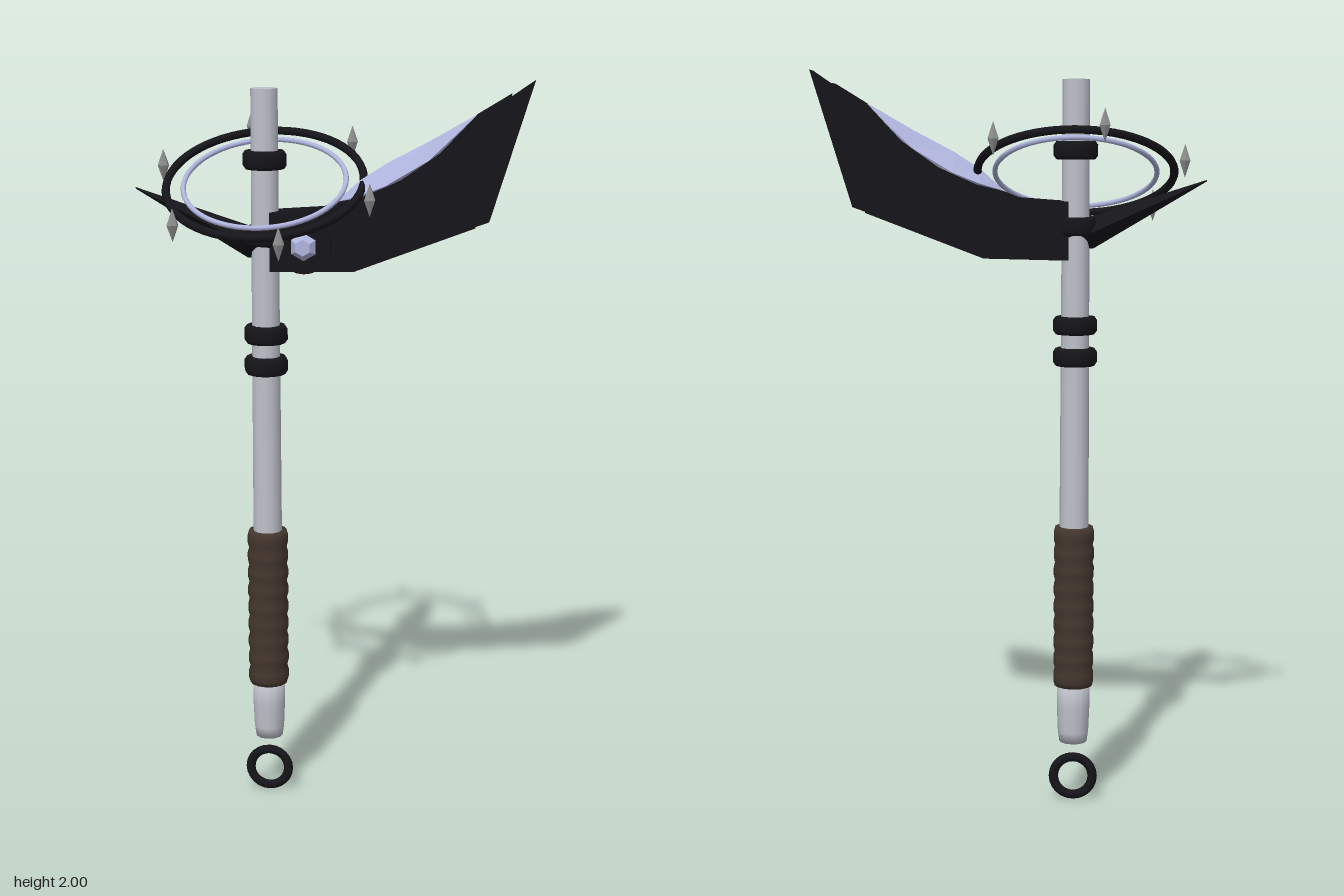
import * as THREE from 'three';

const mat = (color, flatShading = false) => new THREE.MeshStandardMaterial({ color, flatShading });
const steel = mat(0xbfc1cb), black = mat(0x15151a), blackFlat = mat(0x15151a, true);
const leather = mat(0x44362e), pale = mat(0xb0b5de), paleFlat = mat(0xb0b5de, true), grey = mat(0x8c8c8c, true);
const POLE = -0.183;

function add(parent, name, geometry, material, x = 0, y = 0, z = 0) {
  const mesh = new THREE.Mesh(geometry, material);
  mesh.name = name;
  mesh.position.set(x, y, z);
  parent.add(mesh);
  return mesh;
}

const lathe = (pts, sides) => new THREE.LatheGeometry(pts.map(p => new THREE.Vector2(...p)), sides);

// Plate centred on z = 0 from an outline in x, y
function plate(points, half) {
  const shape = new THREE.Shape(points.map(p => new THREE.Vector2(...p)));
  return new THREE.ExtrudeGeometry(shape, { depth: half * 2, bevelEnabled: false }).translate(0, 0, -half);
}

// Diamond sections [x, yTop, yMid, yBottom, halfWidth] joined along x
function loft(sections) {
  const pos = [], index = [];
  for (const [x, top, mid, bottom, w] of sections)
    pos.push(x, top, 0, x, mid, w, x, bottom, 0, x, mid, -w);
  for (let i = 0; i < sections.length - 1; i++)
    for (let j = 0; j < 4; j++) {
      const a = i * 4 + j, b = i * 4 + (j + 1) % 4;
      index.push(a, b, a + 4, b, b + 4, a + 4);
    }
  const n = (sections.length - 1) * 4;
  index.push(0, 2, 1, 0, 3, 2, n, n + 1, n + 2, n, n + 2, n + 3);
  const g = new THREE.BufferGeometry();
  g.setAttribute('position', new THREE.Float32BufferAttribute(pos, 3));
  g.setIndex(index);
  g.computeVertexNormals();
  return g;
}

export function createModel() {
  const model = new THREE.Group();
  model.name = 'ceremonialAxe';

  // Shaft and its rounded butt
  add(model, 'shaft', new THREE.CylinderGeometry(0.036, 0.041, 1.655, 12), steel, POLE, 1.1475);
  add(model, 'butt', lathe([[0, 0.17], [0.038, 0.17], [0.042, 0.2], [0.045, 0.27], [0.045, 0.34], [0, 0.34]], 12), steel, POLE);

  // Wrapped grip with shallow ribs
  const grip = [[0.04, 0.33]], wraps = 9, step = 0.445 / wraps;
  for (let i = 0; i < wraps; i++)
    for (const [r, t] of [[0.052, 0], [0.056, 0.3], [0.056, 0.7]]) grip.push([r, 0.33 + (i + t) * step]);
  grip.push([0.052, 0.775], [0.036, 0.775]);
  add(model, 'grip', lathe(grip, 14), leather, POLE);

  // Collars
  const collar = [[0.034, -0.024], [0.052, -0.024], [0.059, -0.014], [0.059, 0.014], [0.052, 0.024], [0.034, 0.024]];
  for (const y of [1.24, 1.325, 1.59, 1.79]) add(model, 'collar', lathe(collar, 12), black, POLE, y);

  // Pommel ring
  add(model, 'pommelRing', new THREE.TorusGeometry(0.054, 0.013, 8, 24), black, POLE, 0.069);

  // Axe blade: broad outer plate and a thinner core reaching past it
  add(model, 'bladeOuter', plate([[-0.165, 1.5], [0.06, 1.505], [0.375, 1.625], [0.46, 1.965], [0.37, 1.91],
    [0.28, 1.815], [0.18, 1.745], [0.08, 1.7], [0.02, 1.685], [-0.03, 1.665], [-0.165, 1.655]], 0.043), blackFlat);
  add(model, 'bladeCore', plate([[0.05, 1.51], [0.41, 1.64], [0.52, 2], [0.36, 1.89], [0.2, 1.73], [0.05, 1.66]], 0.034), blackFlat);

  // Pale faceted crest on the upper edge of the blade
  add(model, 'crest', loft([
    [0.015, 1.69, 1.685, 1.67, 0.004],
    [0.07, 1.74, 1.702, 1.68, 0.036],
    [0.14, 1.785, 1.73, 1.69, 0.042],
    [0.25, 1.843, 1.795, 1.75, 0.026],
    [0.37, 1.912, 1.909, 1.9, 0.001],
  ]), paleFlat);

  // Rear spike
  add(model, 'rearSpike', loft([
    [-0.53, 1.712, 1.71, 1.708, 0.001],
    [-0.23, 1.617, 1.575, 1.53, 0.042],
    [-0.165, 1.615, 1.57, 1.53, 0.042],
  ]), blackFlat);

  // Gem in a round setting on the front face
  add(model, 'gemSetting', new THREE.CylinderGeometry(0.072, 0.072, 0.014, 24), black, -0.072, 1.57, 0.053).rotation.x = Math.PI / 2;
  add(model, 'gem', new THREE.CylinderGeometry(0.022, 0.038, 0.02, 6), paleFlat, -0.072, 1.57, 0.069).rotation.x = Math.PI / 2;

  // Tilted halo of two rings with six upright shards around it
  const tilt = THREE.MathUtils.degToRad(25.5), haloY = 1.73;
  for (const [name, r, tube, m] of [['outerHalo', 0.261, 0.011, black], ['innerHalo', 0.215, 0.007, pale]])
    add(model, name, new THREE.TorusGeometry(r, tube, 8, 64).rotateX(Math.PI / 2 + tilt), m, POLE, haloY);
  const shard = lathe([[0, -0.044], [0.016, 0], [0, 0.044]], 6);
  for (let i = 0; i < 6; i++) {
    const a = THREE.MathUtils.degToRad(15 + i * 60), s = 0.296 * Math.sin(a);
    add(model, 'shard', shard, grey, POLE + 0.296 * Math.cos(a), haloY - s * Math.sin(tilt), s * Math.cos(tilt));
  }
  return model;
}
